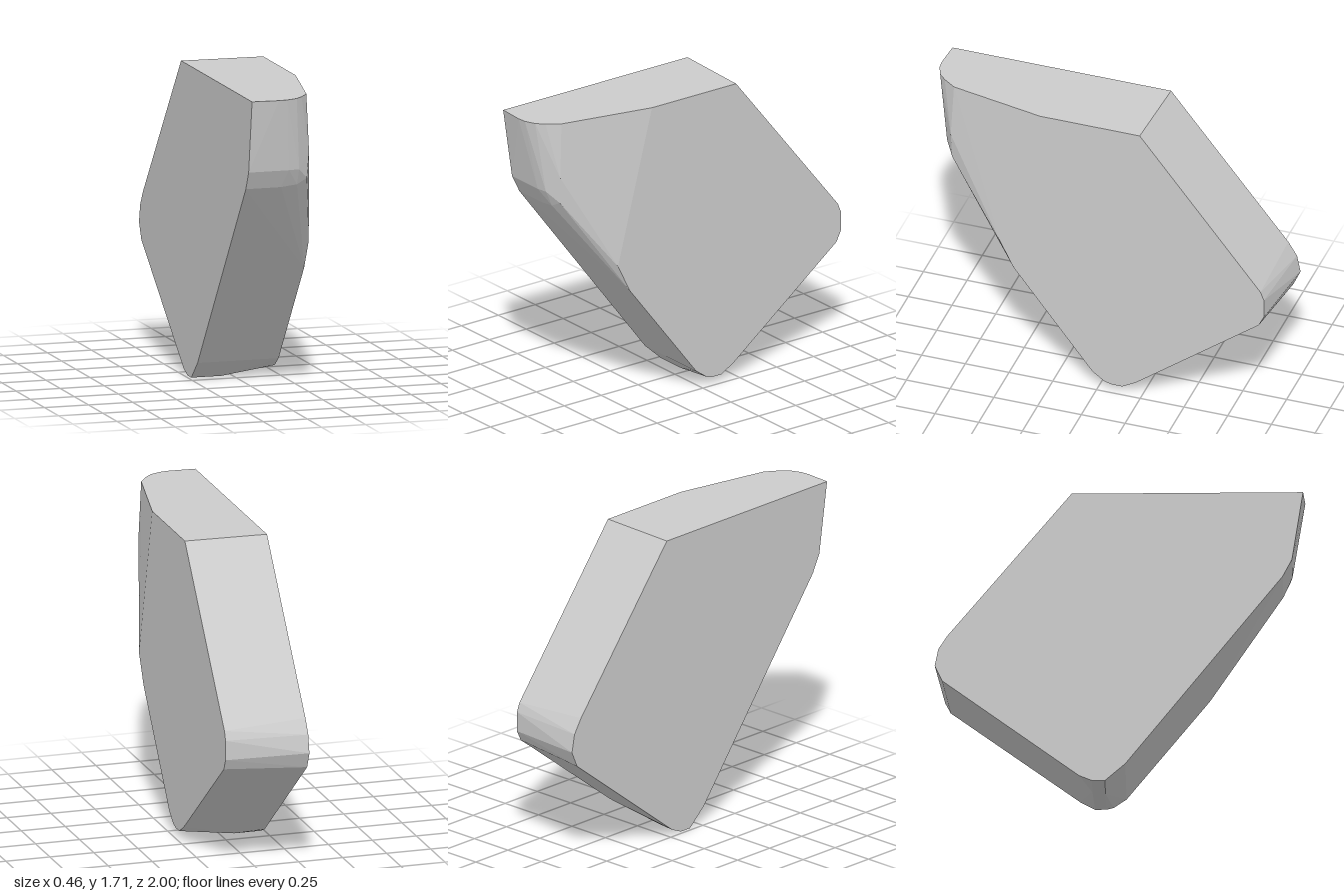
import * as THREE from 'three';
import { ConvexGeometry } from 'three/addons/geometries/ConvexGeometry.js';

const HALF_WIDTH = 0.23;

// Side outlines as [z, y]; the +x side is slightly smaller, giving the block its draft
const wideSide = [
  [0.99, 1.71], [0.93, 1.31], [0.88, 1.21], [0.03, 0.1], [-0.08, 0], [-0.15, 0], [-0.22, 0.03],
  [-0.96, 0.6], [-1, 0.69], [-0.98, 0.79], [-0.93, 0.87], [-0.26, 1.71],
];
const narrowSide = [
  [0.33, 1.71], [0.56, 0.84], [0.48, 0.68], [0.03, 0.1], [-0.04, 0.05], [-0.08, 0.04], [-0.14, 0.04], [-0.22, 0.085],
  [-0.92, 0.62], [-0.95, 0.68], [-0.95, 0.79], [-0.93, 0.84], [-0.24, 1.71],
];
// Rounded front corner as [x, y, z]: top rim, waist and lower bevel
const noseCorner = [
  [-0.08, 1.71, 1], [-0.03, 1.71, 0.995], [0.03, 1.71, 0.97], [0.07, 1.71, 0.93], [0.12, 1.71, 0.86],
  [0, 1.31, 0.93], [0.06, 1.31, 0.92], [0.13, 1.4, 0.875],
  [-0.03, 1.21, 0.88], [0.06, 1.22, 0.88], [0.12, 1.25, 0.87],
];
// Flat strip the block stands on
const foot = [[-0.06, 0, -0.08], [-0.08, 0, -0.15]];

export function createModel() {
  const group = new THREE.Group();
  group.name = 'wedgeBlock';

  const side = (outline, x) => outline.map(([z, y]) => new THREE.Vector3(x, y, z));
  const points = [
    ...side(wideSide, -HALF_WIDTH),
    ...side(narrowSide, HALF_WIDTH),
    ...[...noseCorner, ...foot].map((p) => new THREE.Vector3(...p)),
  ];

  const body = new THREE.Mesh(
    new ConvexGeometry(points),
    new THREE.MeshStandardMaterial({ color: 0xcccccc, flatShading: true })
  );
  body.name = 'body';
  group.add(body);
  return group;
}
